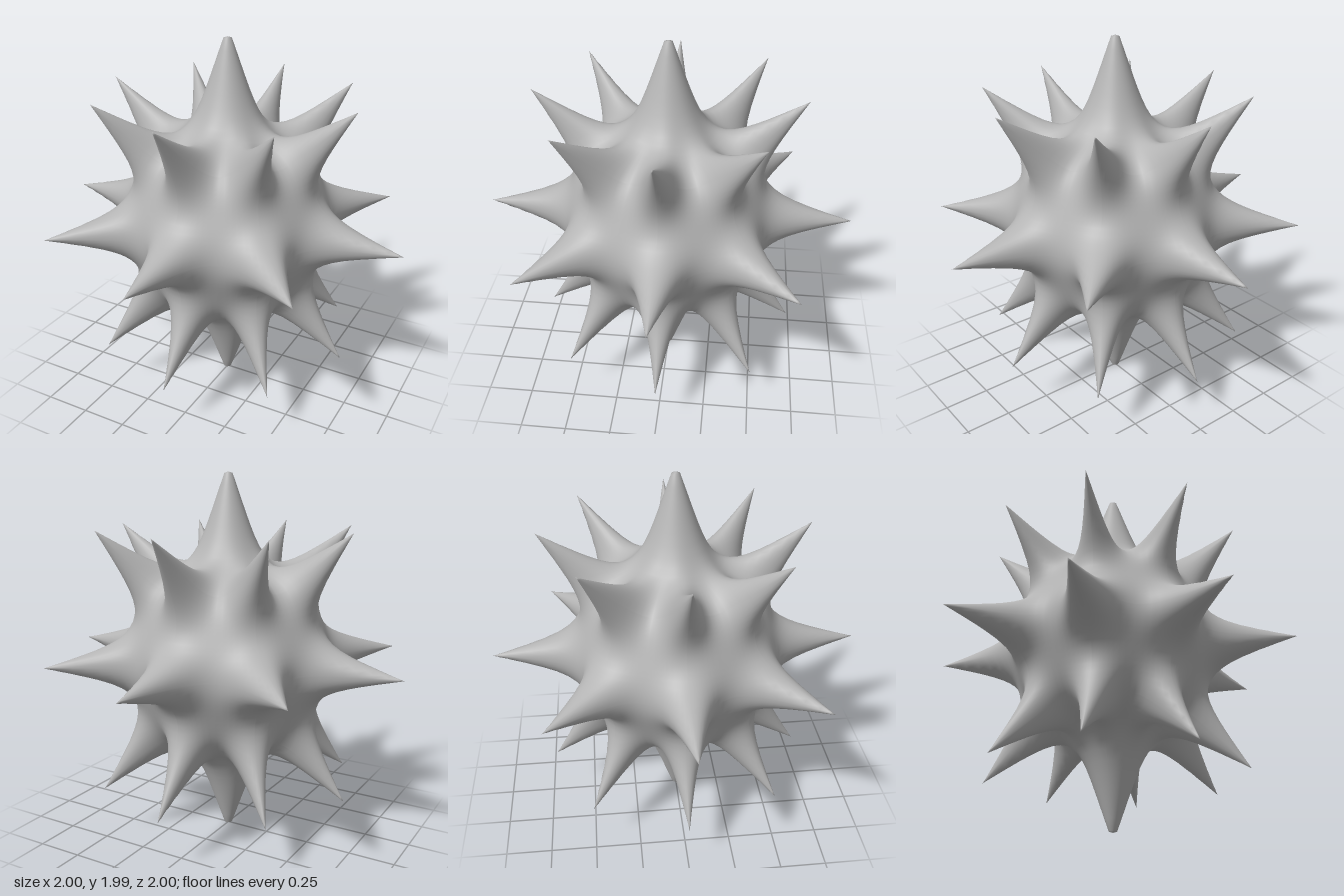
import * as THREE from 'three';

const STEP = Math.PI / 4;   // angle between neighbouring spikes
const SUB = 10;             // grid rows from a spike tip to the valley
const CENTRE_Y = 0.995;

// Grid coordinate, in spike steps, packed more densely around each spike tip
function warp(i) {
  const cell = Math.round(i / (2 * SUB));
  const s = i / SUB - 2 * cell;
  return cell + 0.5 * Math.sign(s) * Math.pow(Math.abs(s), 1.8);
}

// Radius at longitude u and latitude v, both counted in spike steps
function radius(u, v) {
  let sum = 0;
  // Three rings of eight spikes
  for (let row = -1; row <= 1; row++) {
    for (let k = 0; k < 8; k++) {
      let du = Math.abs(u - k) % 8;
      du = Math.min(du, 8 - du);
      const d = Math.pow(du ** 2.3 + Math.abs(v - row) ** 2.3, 1 / 2.3);
      sum += Math.exp(-d / 0.16);
    }
  }
  // Broader, blunt spikes at the top and bottom
  for (const pole of [-2, 2]) {
    const d = Math.max(Math.abs(v - pole) - 0.025, 0);
    sum += Math.exp(-d / 0.23 - 1.5 * d * d);
  }
  return 0.52 + 0.475 * sum;
}

function spikyBall() {
  const cols = 16 * SUB, rows = 8 * SUB;
  const positions = [], index = [];
  const addPoint = (u, v) => {
    const r = radius(u, v), lat = v * STEP, lon = u * STEP;
    positions.push(
      r * Math.cos(lat) * Math.sin(lon),
      CENTRE_Y + r * Math.sin(lat),
      r * Math.cos(lat) * Math.cos(lon));
  };
  // Bottom tip, closed rings, top tip
  addPoint(0, -2);
  for (let j = 1; j < rows; j++)
    for (let i = 0; i < cols; i++) addPoint(warp(i), warp(j - rows / 2));
  addPoint(0, 2);

  const top = positions.length / 3 - 1;
  const id = (i, j) => 1 + (j - 1) * cols + (i % cols);
  for (let i = 0; i < cols; i++) {
    index.push(0, id(i + 1, 1), id(i, 1));
    index.push(top, id(i, rows - 1), id(i + 1, rows - 1));
    for (let j = 1; j < rows - 1; j++) {
      const a = id(i, j), b = id(i + 1, j), c = id(i + 1, j + 1), d = id(i, j + 1);
      index.push(a, b, c, a, c, d);
    }
  }
  const geometry = new THREE.BufferGeometry();
  geometry.setAttribute('position', new THREE.Float32BufferAttribute(positions, 3));
  geometry.setIndex(index);
  geometry.computeVertexNormals();
  return geometry;
}

export function createModel() {
  const grey = new THREE.MeshStandardMaterial({ color: 0xb4b4b4 });
  grey.name = 'grey';
  const ball = new THREE.Mesh(spikyBall(), grey);
  ball.name = 'spikyBall';
  const model = new THREE.Group();
  model.name = 'spikedBall';
  model.add(ball);
  return model;
}
